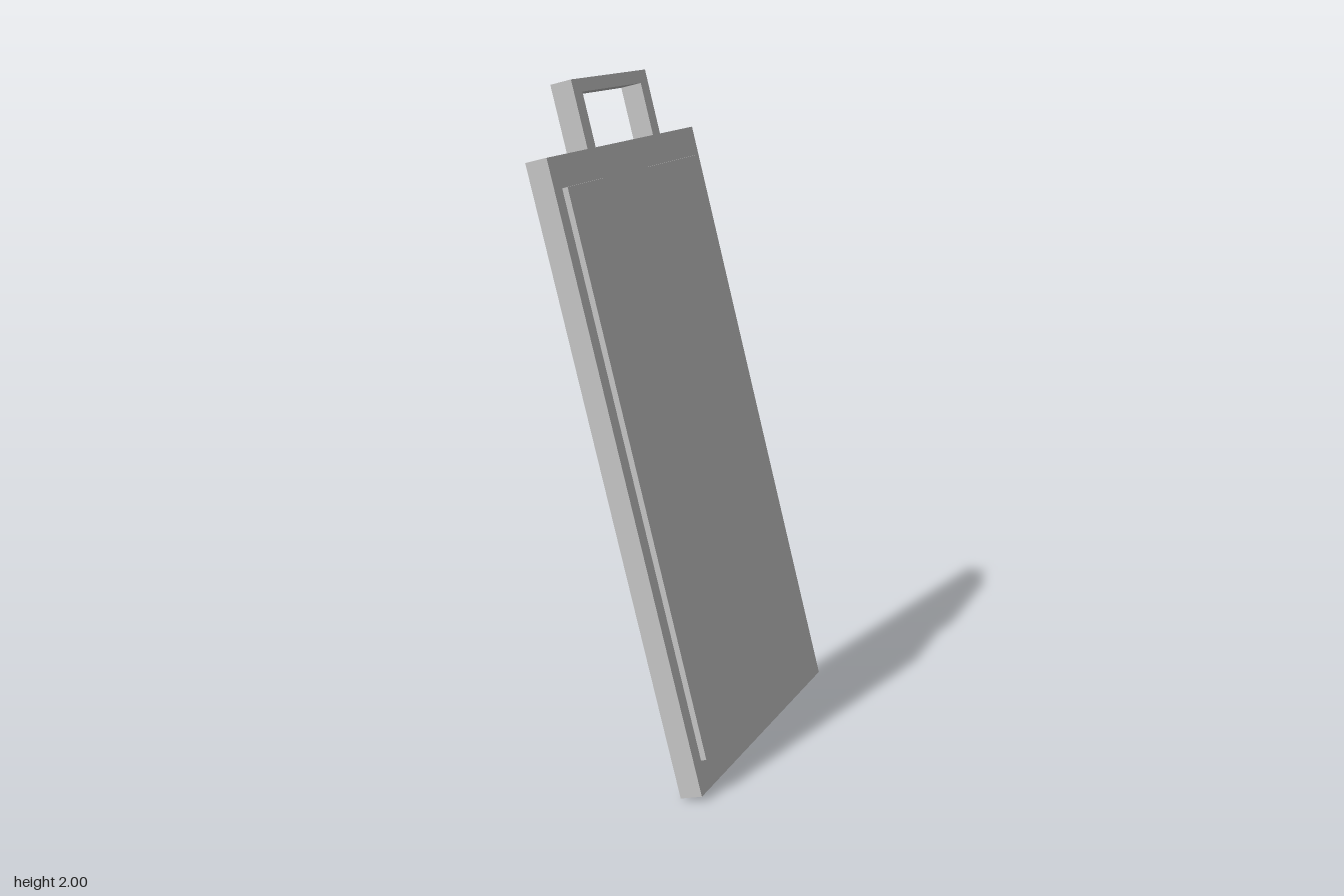
import * as THREE from 'three';

const TILT = 0.2508;      // lean towards -x
const THICK = 0.067;      // board thickness
const BOARD_H = 1.848;    // board length along the slope
const BOARD_W = 1.06;

export function createModel() {
  const model = new THREE.Group();
  model.name = 'leaningBoard';
  const material = new THREE.MeshStandardMaterial({ color: 0xcccccc, flatShading: true });

  // Tilted frame: origin on the lower front edge, local +x is the board's face
  const leaning = new THREE.Group();
  leaning.name = 'tiltedFrame';
  leaning.position.set(0.2865, THICK * Math.sin(TILT), 0);
  leaning.rotation.z = TILT;
  model.add(leaning);

  const add = (name, geometry, x, y) => {
    const mesh = new THREE.Mesh(geometry, material);
    mesh.name = name;
    mesh.position.set(x, y, 0);
    leaning.add(mesh);
  };

  // Main slab
  add('board', new THREE.BoxGeometry(THICK, BOARD_H, BOARD_W), -THICK / 2, BOARD_H / 2);

  // Thin raised panel on the face
  const panelT = 0.017, margin = 0.09;
  add('raisedPanel', new THREE.BoxGeometry(panelT, BOARD_H - 2 * margin, 0.962), panelT / 2, BOARD_H / 2);

  // Square-cornered carrying handle, open towards the board
  const outer = 0.265, inner = 0.21, top = 0.2, bar = 0.0385;
  const outline = [
    [-outer, 0], [-inner, 0], [-inner, top - bar], [inner, top - bar],
    [inner, 0], [outer, 0], [outer, top], [-outer, top],
  ].map(([x, y]) => new THREE.Vector2(x, y));
  const handle = new THREE.ExtrudeGeometry(new THREE.Shape(outline), { depth: THICK, bevelEnabled: false });
  handle.rotateY(Math.PI / 2);
  add('handle', handle, -THICK, BOARD_H);

  return model;
}
